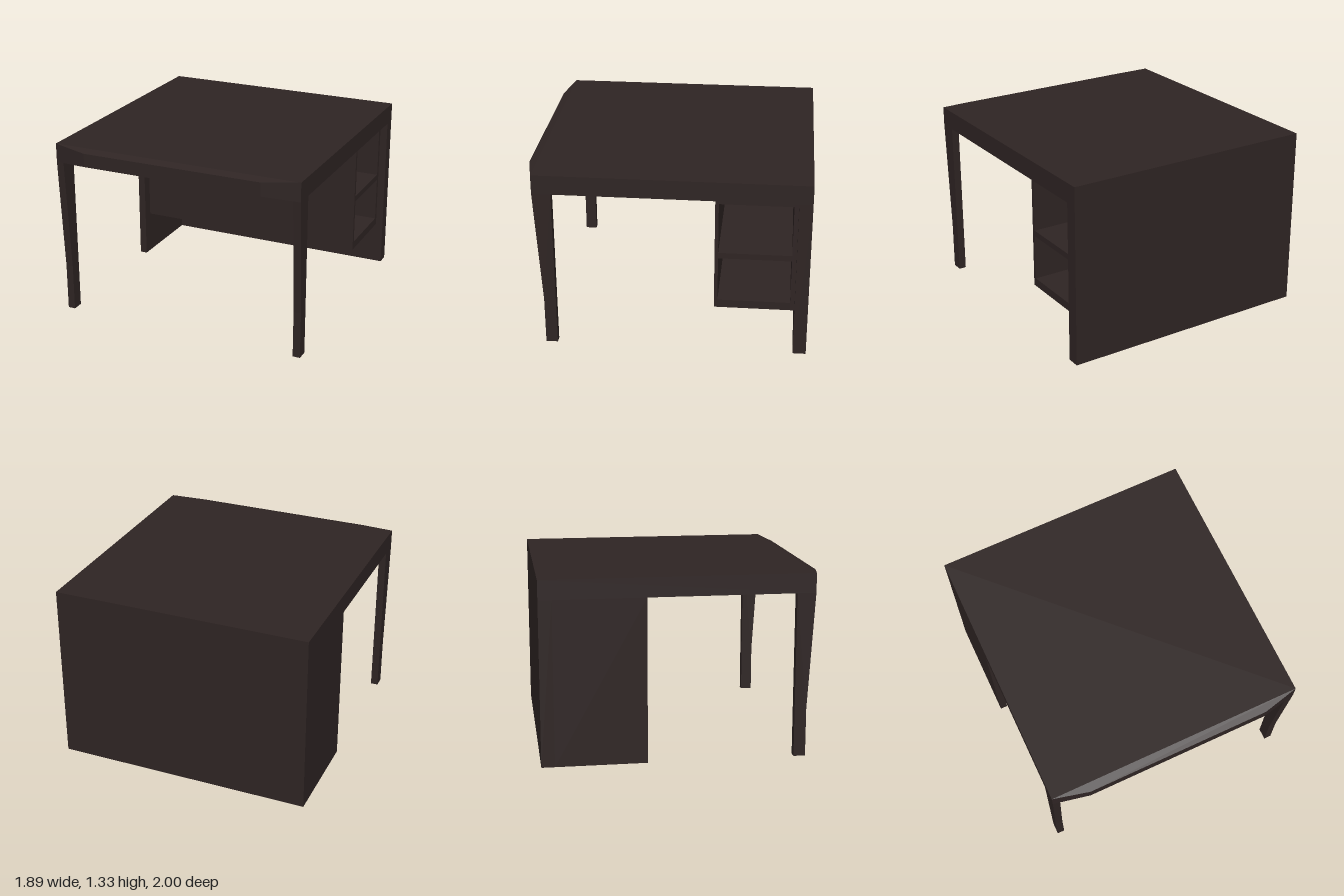
import * as THREE from 'three';
import { ConvexGeometry } from 'three/addons/geometries/ConvexGeometry.js';

const HALF = 0.945;   // half width of the desk
const INNER = 0.89;   // inner face of legs and side panel
const UNDER = 1.19;   // underside of the top

export function createModel() {
  const desk = new THREE.Group();
  desk.name = 'desk';
  const wood = new THREE.MeshStandardMaterial({ color: 0x2e2423 });
  wood.name = 'darkWood';

  const add = (name, geometry, parent = desk) => {
    const mesh = new THREE.Mesh(geometry, wood);
    mesh.name = name;
    parent.add(mesh);
    return mesh;
  };
  // Box given by its two extremes on each axis
  const slab = (name, [x0, x1], [y0, y1], [z0, z1], parent) => {
    const mesh = add(name, new THREE.BoxGeometry(x1 - x0, y1 - y0, z1 - z0), parent);
    mesh.position.set((x0 + x1) / 2, (y0 + y1) / 2, (z0 + z1) / 2);
    return mesh;
  };

  // Thick top whose front edge is bevelled out to a narrower face
  const corners = [];
  for (const s of [-1, 1]) {
    for (const [y, bevelY] of [[UNDER, 1.21], [1.33, 1.31]]) {
      corners.push(
        new THREE.Vector3(s * HALF, y, -1),
        new THREE.Vector3(s * HALF, y, 0.94),
        new THREE.Vector3(s * 0.68, bevelY, 1)
      );
    }
  }
  add('top', new ConvexGeometry(corners));

  // Front legs: side profile tapers on the front, straight below
  const profile = new THREE.Shape([
    [0.805, 0], [0.89, 0], [0.89, 0.35], [0.94, UNDER], [0.805, UNDER],
  ].map(([z, y]) => new THREE.Vector2(-z, y)));
  const legGeometry = new THREE.ExtrudeGeometry(profile, { depth: HALF - INNER, bevelEnabled: false });
  legGeometry.rotateY(Math.PI / 2);
  for (const [name, x] of [['leftLeg', INNER], ['rightLeg', -HALF]]) {
    add(name, legGeometry).position.x = x;
  }

  // Full-width back and the solid panel on the right end
  slab('backPanel', [-HALF, HALF], [0, UNDER], [-1, -0.905]);
  slab('sidePanel', [-HALF, -INNER], [0, UNDER], [-0.905, -0.25]);

  // Hanging shelf case with two compartments open to the left
  const shelves = new THREE.Group();
  shelves.name = 'shelfCase';
  desk.add(shelves);
  const width = [-INNER, INNER];
  slab('frontWall', width, [0.325, UNDER], [-0.355, -0.33], shelves);
  slab('rearWall', width, [0.325, UNDER], [-0.905, -0.873], shelves);
  for (const [name, y0, y1] of [
    ['caseBottom', 0.325, 0.385], ['shelf', 0.72, 0.763], ['caseTop', 1.143, UNDER],
  ]) {
    slab(name, width, [y0, y1], [-0.873, -0.355], shelves);
  }

  return desk;
}
